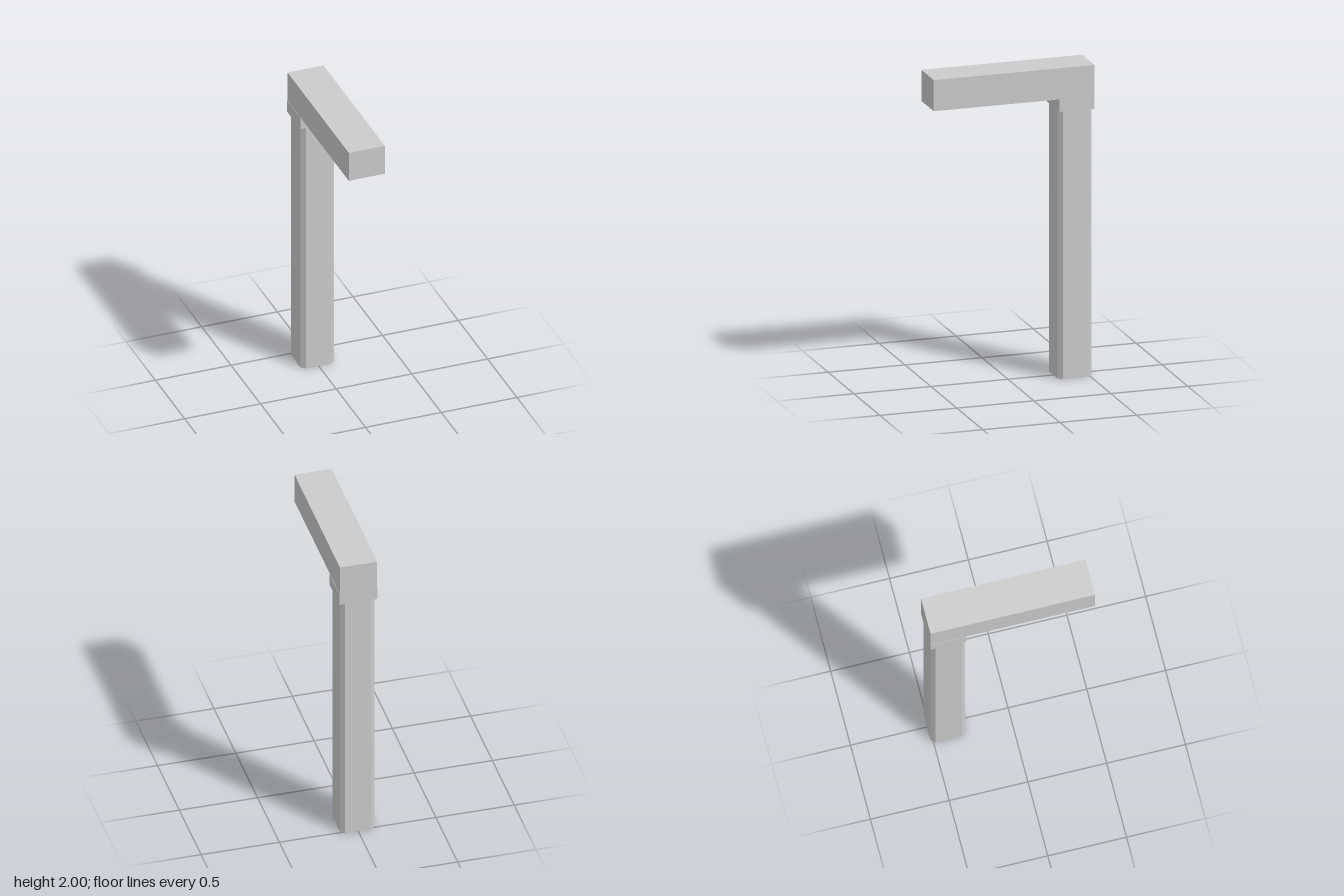
import * as THREE from 'three';

export function createModel() {
  const group = new THREE.Group();
  const grey = new THREE.MeshStandardMaterial({ color: 0xcccccc });
  grey.name = 'grey';

  // Vertical square column with chamfered corners, centred on the post axis
  const column = (name, half, cut, bottom, top, z) => {
    const s = new THREE.Shape([
      [half, -half + cut], [half, half - cut], [half - cut, half], [-half + cut, half],
      [-half, half - cut], [-half, -half + cut], [-half + cut, -half], [half - cut, -half],
    ].map(([x, y]) => new THREE.Vector2(x, y)));
    const geo = new THREE.ExtrudeGeometry(s, { depth: top - bottom, bevelEnabled: false });
    geo.rotateX(-Math.PI / 2);
    const mesh = new THREE.Mesh(geo, grey);
    mesh.name = name;
    mesh.position.set(0, bottom, z);
    group.add(mesh);
  };

  // Chamfered post
  column('post', 0.11, 0.026, 0, 1.72, -0.405);

  // Collar joining post and beam
  const collar = new THREE.Mesh(new THREE.BoxGeometry(0.242, 0.08, 0.228), grey);
  collar.name = 'collar';
  collar.position.set(0, 1.76, -0.408);
  group.add(collar);

  // Overhanging beam
  const beam = new THREE.Mesh(new THREE.BoxGeometry(0.238, 0.2, 1.044), grey);
  beam.name = 'beam';
  beam.position.set(0, 1.9, 0);
  group.add(beam);

  return group;
}
